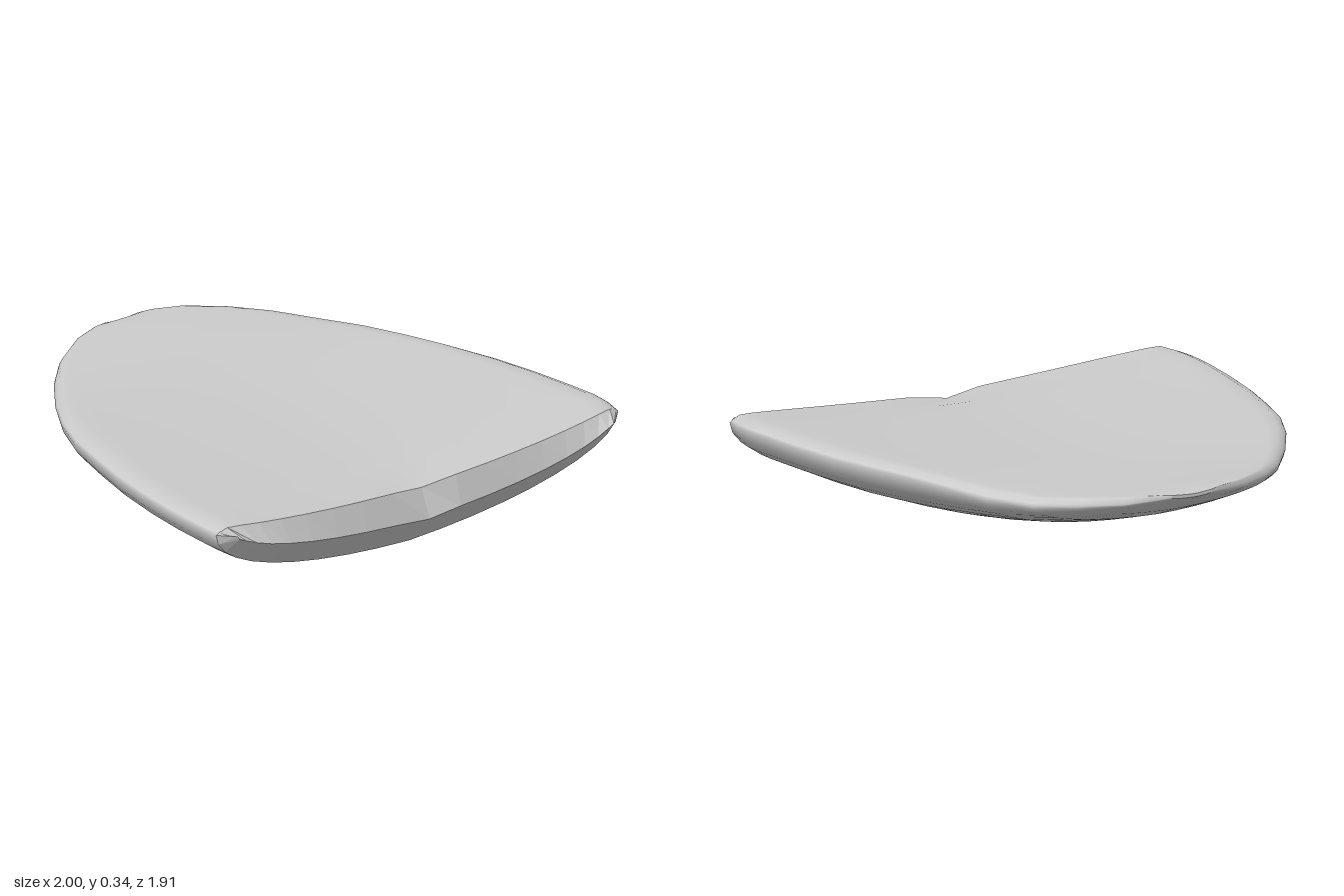
import * as THREE from 'three';

// Sections back to front: z, left half-width (+x), right half-width (-x),
// top height at the middle, rim crest height, underside height at the middle
const SECTIONS = [
  [-0.955, 0.10, 0.08, 0.325, 0.332, 0.312],
  [-0.94, 0.16, 0.14, 0.335, 0.336, 0.300],
  [-0.90, 0.28, 0.26, 0.337, 0.334, 0.278],
  [-0.80, 0.43, 0.42, 0.332, 0.326, 0.225],
  [-0.68, 0.555, 0.54, 0.322, 0.317, 0.175],
  [-0.50, 0.66, 0.675, 0.313, 0.317, 0.118],
  [-0.33, 0.735, 0.78, 0.306, 0.328, 0.078],
  [-0.15, 0.80, 0.86, 0.301, 0.334, 0.045],
  [0.02, 0.86, 0.905, 0.297, 0.335, 0.028],
  [0.22, 0.92, 0.95, 0.293, 0.334, 0.015],
  [0.42, 0.96, 0.98, 0.288, 0.334, 0.008],
  [0.60, 0.985, 0.997, 0.282, 0.334, 0.006],
  [0.72, 1.0, 1.0, 0.277, 0.333, 0.004],
  [0.80, 0.998, 0.998, 0.268, 0.330, 0.002],
  [0.88, 0.982, 0.985, 0.262, 0.326, 0.0],
];
const N = 20; // steps across the width
const LAST = SECTIONS.length - 1;
const across = (i) => Math.sin((Math.PI / 2) * ((2 * i) / N - 1)); // denser at the rim

// Point on the top or underside of section s at step i
function surfacePoint(s, i, top) {
  const [z0, left, right, mid, crest, low] = SECTIONS[s];
  const u = across(i), a = Math.min(1, Math.abs(u));
  const x = u * (u > 0 ? left : right);
  let y, z = z0;
  if (top) {
    const lip = Math.max(0, (a - 0.93) / 0.07);
    const dent = 0.018 * Math.exp(-((x / 0.09) ** 2) - ((z0 - 0.9) / 0.09) ** 2);
    const lipDrop = Math.min(0.03, (crest - low) * 0.5);
    y = mid + (crest - mid) * a ** 1.5 - lipDrop * lip ** 2 - dent;
  } else {
    const rim = crest - Math.min(0.03, (crest - low) * 0.5);
    const curve = 0.9 * (1 - Math.sqrt(Math.max(0, 1 - a * a))) + 0.1 * a;
    y = low + (rim - low) * curve;
  }
  // The front edge leans: the top reaches further forward than the underside
  if (s === LAST) {
    z = top ? 0.925 - 0.045 * a ** 4 - 0.02 * Math.exp(-((x / 0.1) ** 2)) : 0.83 + 0.05 * a * a;
  }
  return new THREE.Vector3(x, y, z);
}

// Smooth shell: closed loops around each section, joined lengthwise
function shellGeometry() {
  const pos = [], index = [], ring = 2 * N;
  for (let s = 0; s <= LAST; s++) {
    for (let i = 0; i <= N; i++) pos.push(...surfacePoint(s, i, true).toArray());
    for (let i = N - 1; i > 0; i--) pos.push(...surfacePoint(s, i, false).toArray());
  }
  for (let s = 0; s < LAST; s++) {
    for (let k = 0; k < ring; k++) {
      const a = s * ring + k, b = s * ring + ((k + 1) % ring);
      index.push(a, a + ring, b, b, a + ring, b + ring);
    }
  }
  const g = new THREE.BufferGeometry();
  g.setAttribute('position', new THREE.Float32BufferAttribute(pos, 3));
  g.setIndex(index);
  g.computeVertexNormals();
  return g;
}

// Faceted strip between two rows of points
function stripGeometry(rows) {
  const pos = [];
  for (let r = 0; r < rows.length - 1; r++) {
    for (let i = 0; i < N; i++) {
      const a = rows[r][i], b = rows[r + 1][i], c = rows[r + 1][i + 1], d = rows[r][i + 1];
      for (const p of [a, b, c, a, c, d]) pos.push(p.x, p.y, p.z);
    }
  }
  const g = new THREE.BufferGeometry();
  g.setAttribute('position', new THREE.Float32BufferAttribute(pos, 3));
  g.computeVertexNormals();
  return g;
}

const row = (fn) => Array.from({ length: N + 1 }, (_, i) => fn(i));

export function createModel() {
  const group = new THREE.Group();
  group.name = 'curvedPlate';
  const add = (name, geometry, flatShading) => {
    const material = new THREE.MeshStandardMaterial({ color: 0xcccccc, flatShading });
    const mesh = new THREE.Mesh(geometry, material);
    mesh.name = name;
    group.add(mesh);
  };

  add('shell', shellGeometry(), false);

  // Bevelled front face with a ridge halfway up
  const top = row((i) => surfacePoint(LAST, i, true));
  const bottom = row((i) => surfacePoint(LAST, i, false));
  const ridge = row((i) => {
    const a = Math.abs(across(i));
    const p = top[i].clone().lerp(bottom[i], 0.47);
    p.x *= 1 - 0.06 * a * a;
    p.z = 0.955 - 0.015 * a ** 4;
    return p;
  });
  add('frontFace', stripGeometry([top, ridge, bottom]), true);

  // Thin closing face at the rounded back end
  const backTop = row((i) => surfacePoint(0, i, true));
  const backBottom = row((i) => surfacePoint(0, i, false));
  add('backEdge', stripGeometry([backBottom, backTop]), true);
  return group;
}
